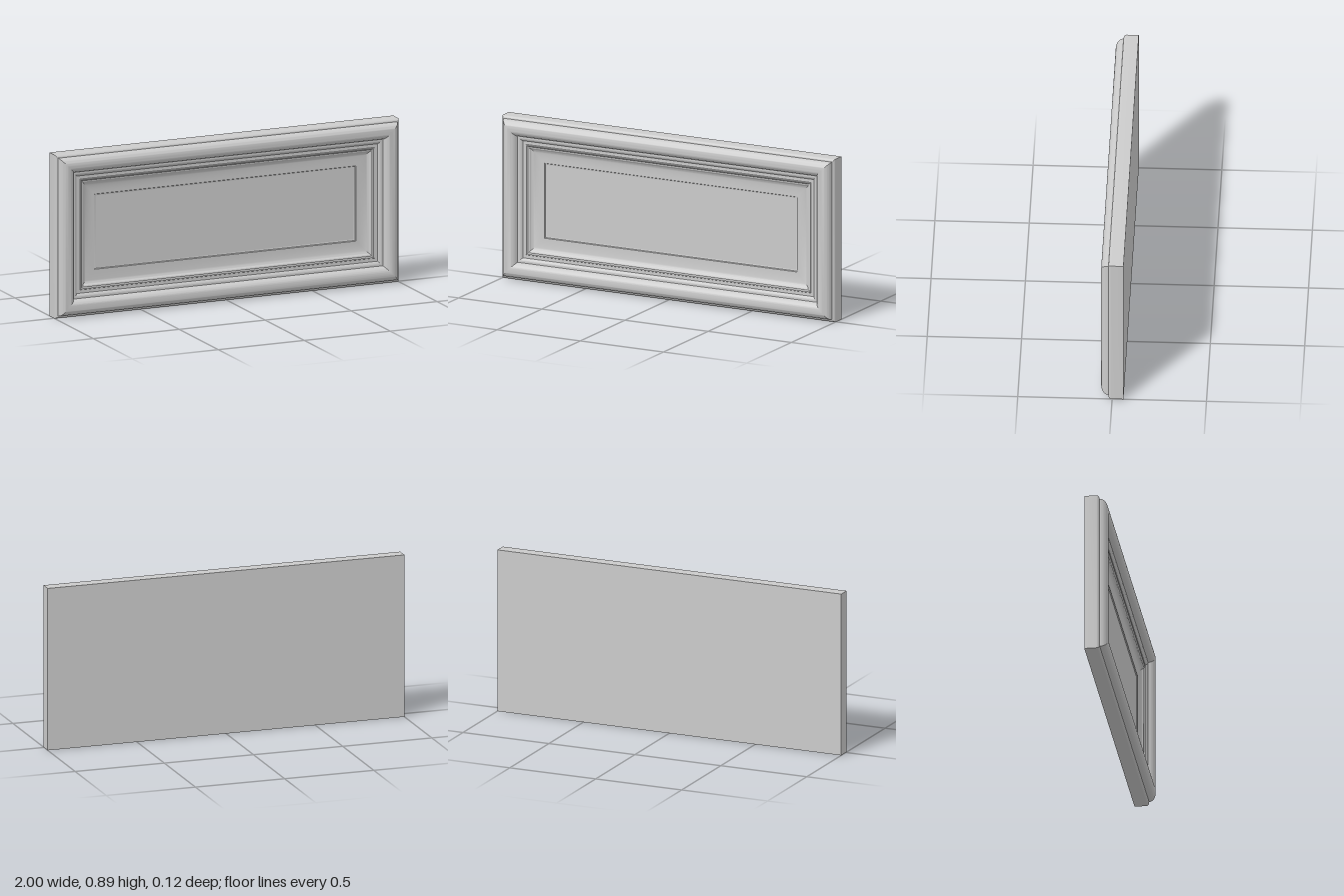
import * as THREE from 'three';
import { toCreasedNormals } from 'three/addons/utils/BufferGeometryUtils.js';

const W = 2, H = 0.89, BACK = -0.06;
const material = new THREE.MeshStandardMaterial({ color: 0xcccccc });

// Elliptical arc in the profile plane: x = inset from the outer edge, y = depth z
function arc(cx, cz, rx, rz, from, to, steps = 10) {
  return Array.from({ length: steps + 1 }, (_, i) => {
    const a = THREE.MathUtils.degToRad(from + (to - from) * i / steps);
    return [cx + rx * Math.cos(a), cz + rz * Math.sin(a)];
  });
}

// Sweeps a moulding profile round the rectangle with mitred corners
function moulding(name, profile) {
  const ring = ([d, z]) => {
    const x = W / 2 - d;
    return [[-x, d, z], [x, d, z], [x, H - d, z], [-x, H - d, z]];
  };
  const pos = [];
  for (let i = 0; i < profile.length - 1; i++) {
    const a = ring(profile[i]), b = ring(profile[i + 1]);
    for (let k = 0; k < 4; k++) {
      const n = (k + 1) % 4;
      pos.push(...a[k], ...a[n], ...b[n], ...a[k], ...b[n], ...b[k]);
    }
  }
  const geo = new THREE.BufferGeometry();
  geo.setAttribute('position', new THREE.Float32BufferAttribute(pos, 3));
  const mesh = new THREE.Mesh(toCreasedNormals(geo, 0.5), material);
  mesh.name = name;
  return mesh;
}

// Flat rectangle at a given inset and depth
function sheet(name, inset, z, facingBack = false) {
  const mesh = new THREE.Mesh(new THREE.PlaneGeometry(W - 2 * inset, H - 2 * inset), material);
  mesh.position.set(0, H / 2, z);
  if (facingBack) mesh.rotation.y = Math.PI;
  mesh.name = name;
  return mesh;
}

export function createModel() {
  const group = new THREE.Group();
  group.name = 'panelledDrawerFront';

  group.add(
    sheet('backFace', 0, BACK, true),

    // Square edge with a small rounded shoulder
    moulding('outerEdge', [[0, BACK], ...arc(0.015, 0.005, 0.015, 0.015, 180, 90, 6)]),

    // Large half-round moulding
    moulding('roundMoulding', [
      ...arc(0.055, 0.02, 0.04, 0.04, 180, 90, 12),
      ...arc(0.06, 0.02, 0.04, 0.04, 90, 15, 12),
      [0.1, 0.026],
    ]),

    // Stepped inner lip with a small bead
    moulding('innerLip', [
      [0.1, 0.026], [0.108, 0.026],
      ...arc(0.108, 0.01, 0.016, 0.016, 90, 20, 6),
      [0.125, 0.014], [0.143, 0.014],
      ...arc(0.147, 0.014, 0.004, 0.004, 180, 0, 6),
      [0.155, 0.01], [0.16, 0.01],
    ]),

    // Hollow slope falling to the panel
    moulding('coveMoulding', [
      [0.16, 0.01],
      ...arc(0.235, 0.008, 0.07, 0.02, 180, 270, 10),
      [0.24, -0.012], [0.243, -0.018], [0.25, -0.02],
    ]),

    sheet('centrePanel', 0.25, -0.02),
  );
  return group;
}
